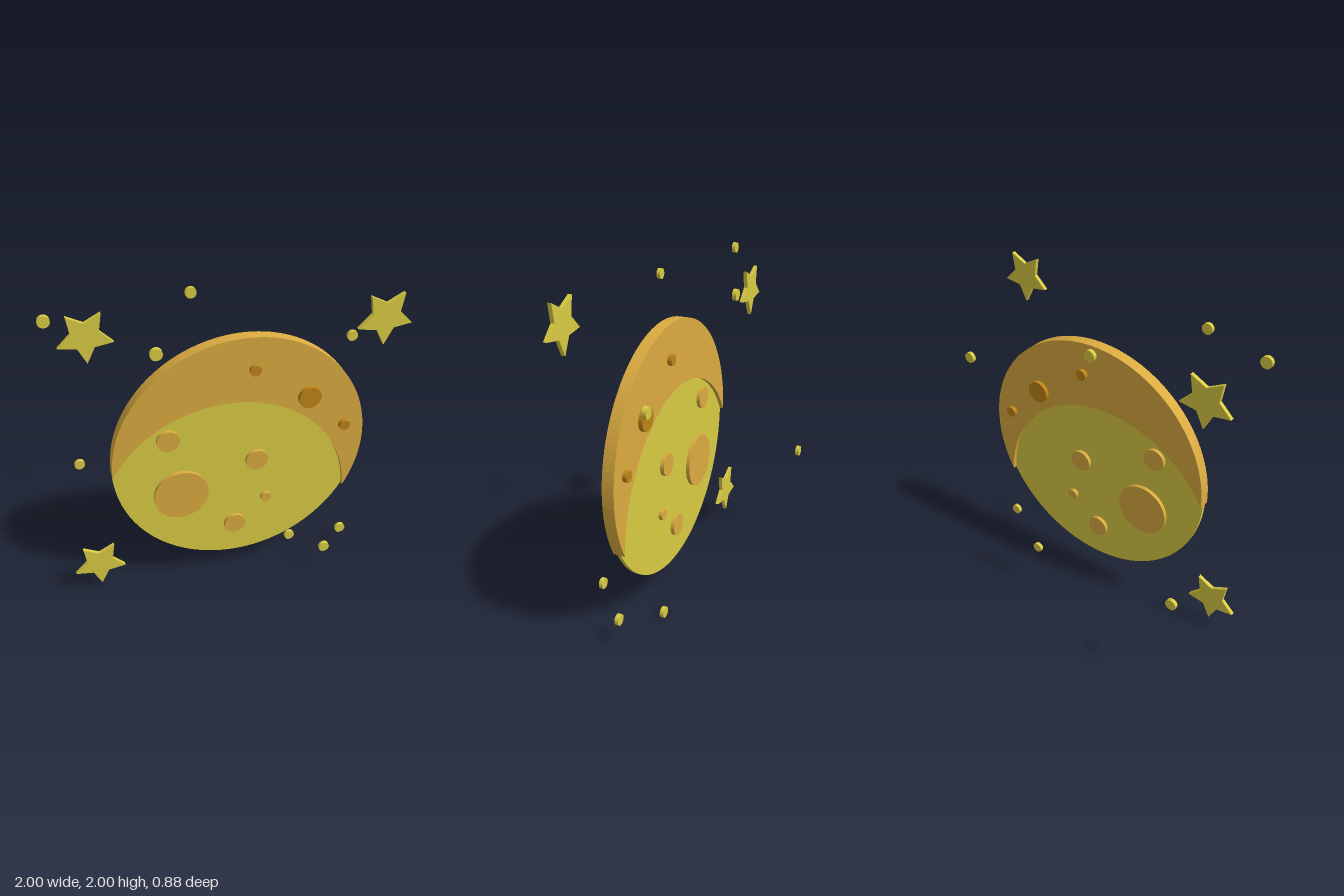
import * as THREE from 'three';

const mat = (color) => new THREE.MeshStandardMaterial({ color });

export function createModel() {
  const group = new THREE.Group();
  const yellow = mat(0xd9cb42);
  const amber = mat(0xdbab40);
  const brown = mat(0xbf8418);
  const moonZ = 0.117;

  const add = (name, geometry, material, x, y, z) => {
    const mesh = new THREE.Mesh(geometry, material);
    mesh.name = name;
    mesh.position.set(x, y, z);
    group.add(mesh);
  };

  // Round plate facing front and back
  const disc = (name, material, x, y, z, r, depth, sides = 32) =>
    add(name, new THREE.CylinderGeometry(r, r, depth, sides).rotateX(Math.PI / 2), material, x, y, z);

  // Flat shape extruded evenly about z
  const plate = (name, points, material, x, y, z, depth) => {
    const geometry = new THREE.ExtrudeGeometry(new THREE.Shape(points), { depth, bevelEnabled: false });
    add(name, geometry.translate(0, 0, -depth / 2), material, x, y, z);
  };

  // Moon outline and the equal circle that cuts the crescent out of it
  const R = 0.791;
  const outer = new THREE.Vector2(0.1, 0.938);
  const inner = new THREE.Vector2(0, 0.525);
  const gap = outer.clone().sub(inner);
  const tilt = gap.angle();
  const half = Math.acos(gap.length() / 2 / R);
  const arc = (c, from, to, n) => Array.from({ length: n + 1 }, (_, i) => {
    const a = from + (to - from) * i / n;
    return new THREE.Vector2(c.x + R * Math.cos(a), c.y + R * Math.sin(a));
  });
  const upper = arc(outer, tilt - Math.PI + half, tilt + Math.PI - half, 72);
  const cut = arc(inner, tilt + half, tilt - half, 56);
  const lower = arc(outer, tilt + Math.PI - half, tilt + Math.PI + half, 56);

  // Thick crescent and thin bright face
  plate('crescent', [...upper, ...cut.slice(1, -1)], amber, 0, 0, moonZ, 0.072);
  plate('moonFace', [...lower, ...cut.slice(1, -1).reverse()], yellow, 0, 0, moonZ, 0.024);

  // Craters on the bright face
  [[-0.348, 1.11, 0.07], [-0.278, 0.695, 0.171], [0.203, 0.866, 0.07], [0.273, 0.559, 0.034], [0.067, 0.385, 0.069]]
    .forEach(([x, y, r]) => disc('faceCrater', amber, x, y, moonZ, r, 0.072, 48));

  // Craters on the crescent
  [[0.171, 1.521, 0.034], [0.516, 1.281, 0.07], [0.757, 1.04, 0.034]]
    .forEach(([x, y, r]) => disc('crescentCrater', brown, x, y, moonZ, r, 0.124, 48));

  // Five-pointed stars, one tip down
  const starPoints = Array.from({ length: 10 }, (_, i) => {
    const r = i % 2 ? 0.084 : 0.166;
    const a = -Math.PI / 2 + i * Math.PI / 5;
    return new THREE.Vector2(r * Math.cos(a), r * Math.sin(a));
  });
  [[-0.746, 1.749, -0.072], [0.837, 1.868, 0.37], [-0.812, 0.23, 0.105]]
    .forEach(([x, y, z]) => plate('star', starPoints, yellow, x, y, z, 0.024));

  // Small round dots
  [[-0.967, 1.967, 0.117], [-0.45, 1.867, 0.43], [-0.107, 1.867, -0.214], [0.893, 1.488, -0.127],
    [-0.83, 0.625, -0.43], [0.618, 0.212, 0.332], [0.824, 0.144, 0.118], [0.514, 0.035, -0.02]]
    .forEach(([x, y, z]) => disc('dot', yellow, x, y, z, 0.034, 0.024));

  return group;
}
